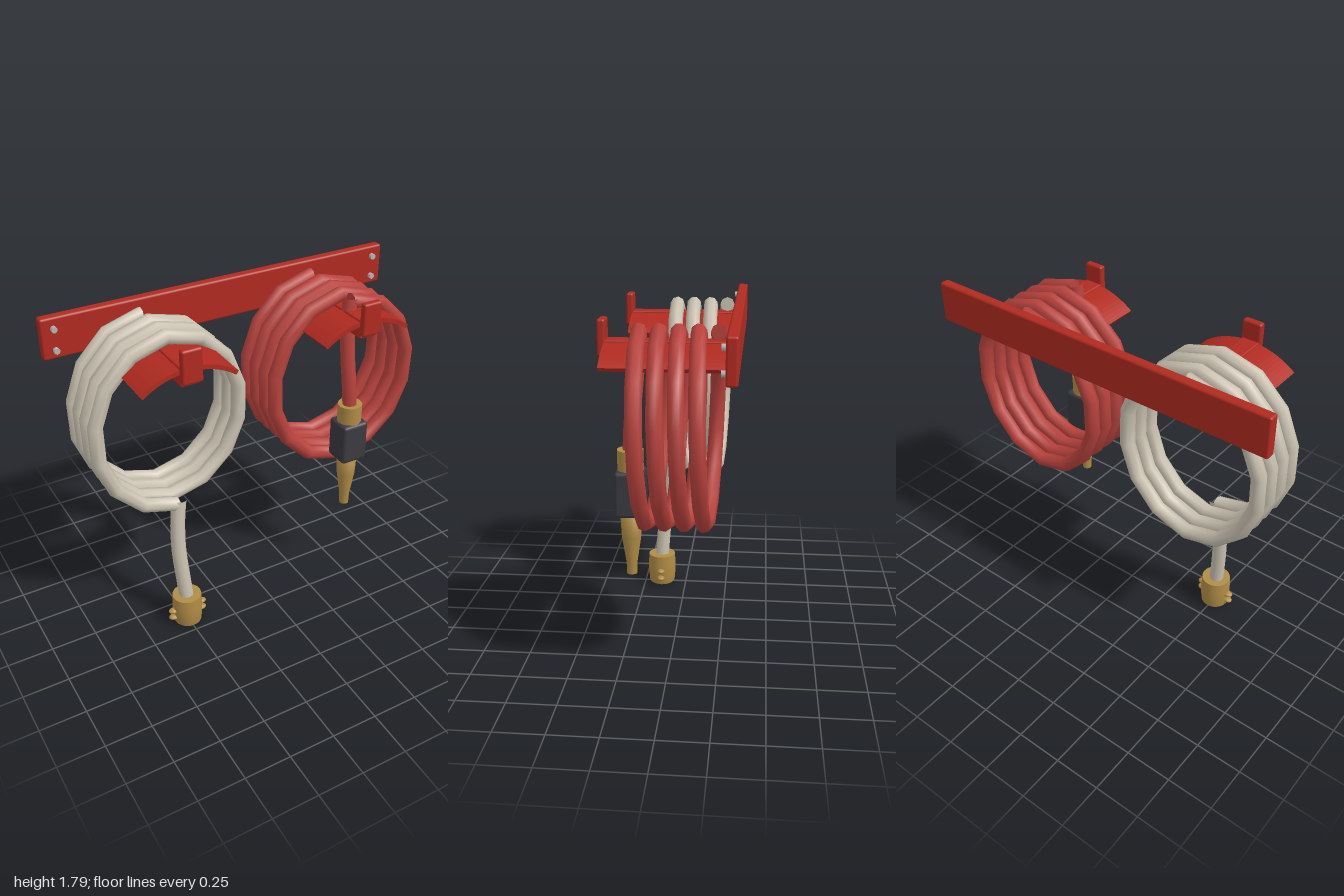
import * as THREE from 'three';
import { RoundedBoxGeometry } from 'three/addons/geometries/RoundedBoxGeometry.js';

const material = (name, color, side = THREE.FrontSide) => {
  const m = new THREE.MeshStandardMaterial({ color, side });
  m.name = name;
  return m;
};

// Flattened helix that starts at the top rear and winds towards -x and forwards
class CoilCurve extends THREE.Curve {
  constructor(cx, turns) {
    super();
    this.cx = cx;
    this.turns = turns;
  }
  getPoint(t, target = new THREE.Vector3()) {
    const a = t * this.turns * Math.PI * 2;
    return target.set(
      this.cx - 0.41 * Math.sin(a),
      1.25 + 0.475 * Math.cos(a),
      -0.235 + 0.095 * this.turns * t
    );
  }
}

export function createModel() {
  const model = new THREE.Group();
  model.name = 'hoseRack';
  const redMetal = material('red painted metal', 0xb02a20);
  const redHose = material('red hose', 0xb8423d);
  const whiteHose = material('off-white hose', 0xcac2b1);
  const brass = material('brass', 0xb08c45);
  const black = material('black grip', 0x3a3a40);
  const steel = material('steel', 0xb4b4b4);

  const add = (name, geometry, mat, x = 0, y = 0, z = 0, parent = model) => {
    const mesh = new THREE.Mesh(geometry, mat);
    mesh.name = name;
    mesh.position.set(x, y, z);
    parent.add(mesh);
    return mesh;
  };
  const box = (w, h, d, r) => new RoundedBoxGeometry(w, h, d, 2, r);

  // Wall plate and its bolts
  add('wallPlate', box(2, 0.22, 0.055, 0.012), redMetal, 0, 1.677, -0.313);
  for (const x of [-0.935, 0.935]) {
    for (const y of [1.615, 1.73]) {
      const bolt = add('bolt', new THREE.CylinderGeometry(0.016, 0.016, 0.025, 10), steel, x, y, -0.277);
      bolt.rotation.x = Math.PI / 2;
    }
  }

  // Curved saddle sheet
  const half = 0.645;
  const arch = new THREE.Shape();
  arch.absarc(0, 0, 0.425, Math.PI / 2 - half, Math.PI / 2 + half, false);
  arch.absarc(0, 0, 0.402, Math.PI / 2 + half, Math.PI / 2 - half, true);
  const saddleGeometry = new THREE.ExtrudeGeometry(arch, { depth: 0.595, bevelEnabled: false, curveSegments: 12 });

  // Each hanger: saddle, arm below it and upright stop in front
  for (const x of [-0.5, 0.5]) {
    const hanger = new THREE.Group();
    hanger.name = 'hanger';
    hanger.position.x = x;
    model.add(hanger);
    add('saddle', saddleGeometry, redMetal, 0, 1.255, -0.29, hanger);
    add('arm', box(0.1, 0.1, 0.6, 0.008), redMetal, 0, 1.637, 0.01, hanger);
    add('frontStop', box(0.108, 0.178, 0.04, 0.012), redMetal, 0, 1.697, 0.32, hanger);
  }

  // Hose: coil, closed rear end and hanging length
  const hose = (name, cx, turns, mat, drop) => {
    const group = new THREE.Group();
    group.name = name;
    model.add(group);
    const coil = new CoilCurve(cx, turns);
    add('coil', new THREE.TubeGeometry(coil, Math.round(turns * 14), 0.04, 8), mat, 0, 0, 0, group);
    for (const t of [0, 1]) {
      const p = coil.getPoint(t);
      const cap = add('hoseEnd', new THREE.CircleGeometry(0.04, 8), mat, p.x, p.y, p.z, group);
      cap.lookAt(p.clone().addScaledVector(coil.getTangent(t), t ? 1 : -1));
    }
    const path = new THREE.CatmullRomCurve3(drop.map((p) => new THREE.Vector3(...p)));
    add('hangingHose', new THREE.TubeGeometry(path, 12, 0.04, 10), mat, 0, 0, 0, group);
  };
  hose('whiteHose', -0.5, 3.5, whiteHose,
    [[-0.495, 0.8, 0.097], [-0.512, 0.68, 0.105], [-0.522, 0.5, 0.12], [-0.512, 0.3, 0.137], [-0.5, 0.15, 0.147]]);
  hose('redHose', 0.5, 4, redHose,
    [[0.495, 1.74, 0.145], [0.482, 1.62, 0.155], [0.48, 1.45, 0.17], [0.488, 1.28, 0.187], [0.5, 1.1, 0.195]]);

  const lathe = (points, segments = 20) =>
    new THREE.LatheGeometry(points.map(([r, y]) => new THREE.Vector2(r, y)), segments);

  // Coupling with side lugs on the white hose
  add('coupling', lathe([[0, 0], [0.068, 0], [0.068, 0], [0.077, 0.01], [0.083, 0.08], [0.083, 0.12],
    [0.08, 0.183], [0.08, 0.185], [0, 0.185]]), brass, -0.5, 0, 0.147);
  for (const side of [-1, 1]) {
    for (const y of [0.05, 0.095]) {
      const lug = add('couplingLug', new THREE.SphereGeometry(1, 12, 8), brass, -0.5 + side * 0.083, y, 0.147);
      lug.scale.set(0.032, 0.014, 0.023);
    }
  }

  // Nozzle on the red hose: collar, grip and tapered tip
  add('nozzleCollar', new THREE.CylinderGeometry(0.066, 0.066, 0.11, 20), brass, 0.5, 1.087, 0.195);
  add('nozzleGrip', box(0.155, 0.235, 0.15, 0.018), black, 0.5, 0.922, 0.195);
  add('nozzleTip', lathe([[0, 0.485], [0.026, 0.485], [0.026, 0.486], [0.028, 0.545],
    [0.05, 0.69], [0.056, 0.81], [0, 0.81]]), brass, 0.5, 0, 0.195);

  return model;
}
